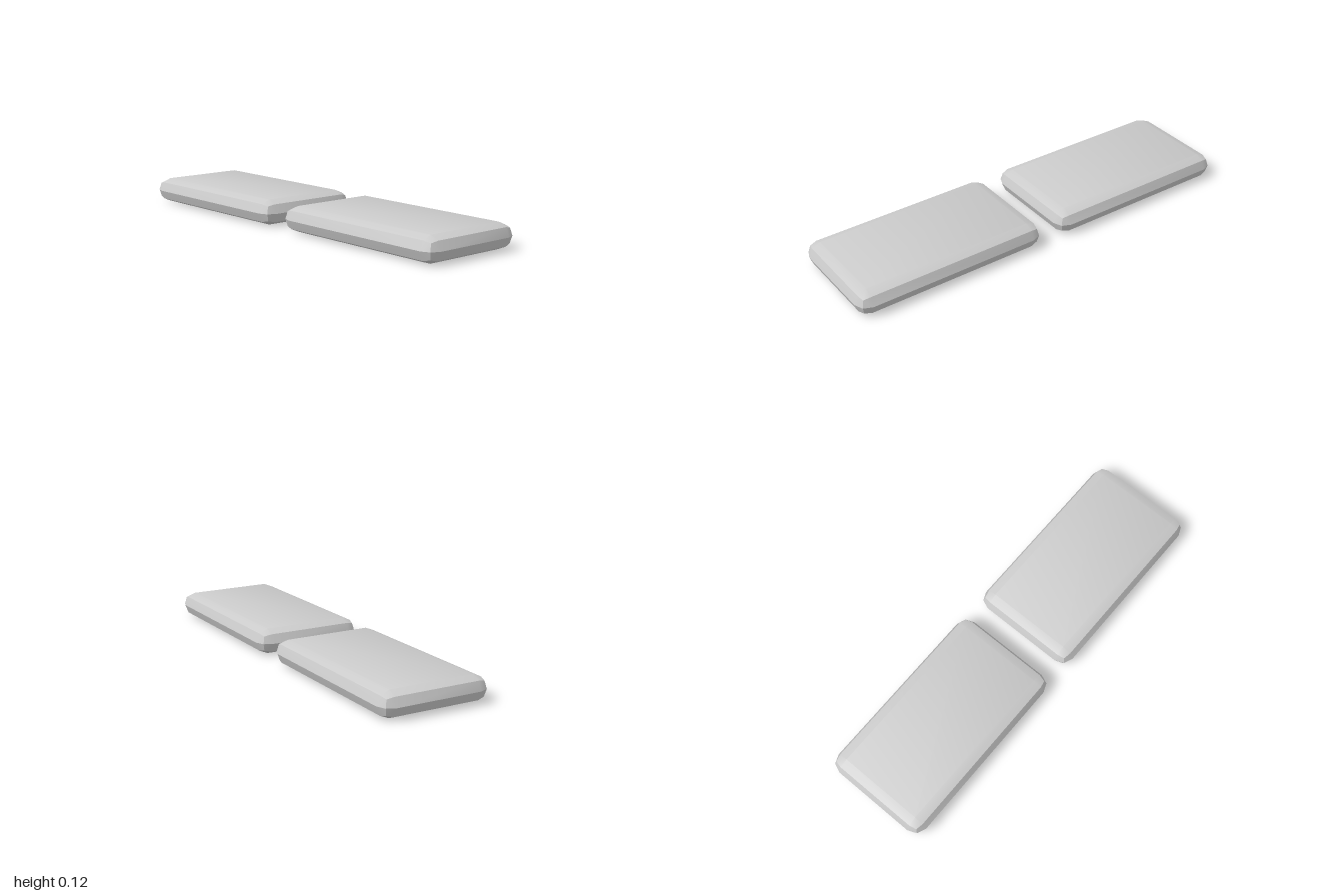
import * as THREE from 'three';
import { ConvexGeometry } from 'three/addons/geometries/ConvexGeometry.js';
import { toCreasedNormals } from 'three/addons/utils/BufferGeometryUtils.js';

const RADIUS = 0.06;      // edge rounding, equal to half the thickness
const HALF_X = 0.476;
const HALF_Z = 0.267;
const CENTER_X = 0.524;

// Slab with edges rounded in two segments: every corner is a coarse sphere octant
function slabGeometry() {
  const octant = [
    [1, 0, 0], [0, 1, 0], [0, 0, 1],
    [1, 1, 0], [1, 0, 1], [0, 1, 1],
    [1, 1, 1],
  ].map((d) => new THREE.Vector3(...d).setLength(RADIUS));

  const points = [];
  for (const sx of [-1, 1]) for (const sz of [-1, 1]) for (const sy of [-1, 1]) {
    for (const p of octant) {
      if (sy < 0 && p.y === 0) continue; // the middle ring is shared
      points.push(new THREE.Vector3(
        sx * (HALF_X - RADIUS + p.x),
        sy * p.y,
        sz * (HALF_Z - RADIUS + p.z),
      ));
    }
  }
  return toCreasedNormals(new ConvexGeometry(points), THREE.MathUtils.degToRad(30));
}

export function createModel() {
  const group = new THREE.Group();
  group.name = 'slabPair';
  const material = new THREE.MeshStandardMaterial({ color: 0xcccccc });
  const geometry = slabGeometry();

  // Two matching slabs side by side
  for (const [name, side] of [['leftSlab', 1], ['rightSlab', -1]]) {
    const slab = new THREE.Mesh(geometry, material);
    slab.name = name;
    slab.position.set(side * CENTER_X, RADIUS, 0);
    group.add(slab);
  }
  return group;
}
